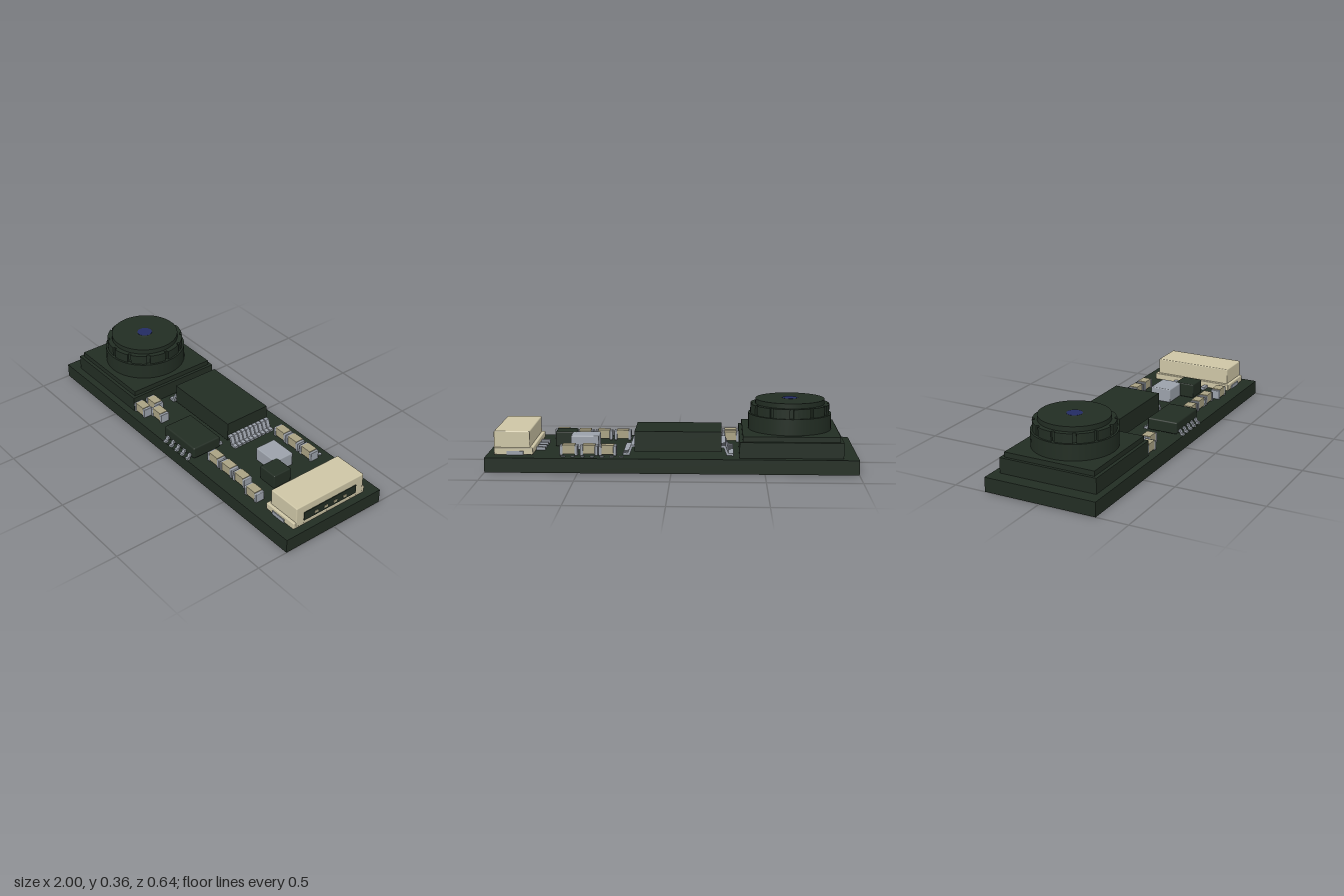
import * as THREE from 'three';
import { RoundedBoxGeometry } from 'three/addons/geometries/RoundedBoxGeometry.js';

export function createModel() {
  const model = new THREE.Group();
  const mat = (name, color) => {
    const m = new THREE.MeshStandardMaterial({ color });
    m.name = name;
    return m;
  };
  const dark = mat('dark green black', 0x222d23);
  const silver = mat('silver', 0x9ba1aa);
  const cream = mat('cream', 0xcdc5a5);
  const tan = mat('tan', 0xa9a283);
  const blue = mat('lens blue', 0x232b62);

  const add = (name, geo, material, x = 0, y = 0, z = 0, parent = model) => {
    const m = new THREE.Mesh(geo, material);
    m.name = name;
    m.position.set(x, y, z);
    parent.add(m);
    return m;
  };
  // Box given by its limits on each axis, optionally with rounded edges
  const box = (name, material, x0, x1, y0, y1, z0, z1, r = 0, parent = model) => {
    const s = [x1 - x0, y1 - y0, z1 - z0];
    const geo = r ? new RoundedBoxGeometry(...s, 2, r) : new THREE.BoxGeometry(...s);
    return add(name, geo, material, (x0 + x1) / 2, (y0 + y1) / 2, (z0 + z1) / 2, parent);
  };
  const group = (name) => {
    const g = new THREE.Group();
    g.name = name;
    model.add(g);
    return g;
  };
  // Gull-wing lead: foot lies at +x, shoulder enters the chip at x = 0
  const lead = (parent, length, height, width, x, z, turn) => {
    const t = 0.012;
    const s = new THREE.Shape();
    s.moveTo(0, height);
    s.lineTo(length * 0.35, height);
    s.lineTo(length * 0.6, t);
    s.lineTo(length, t);
    s.lineTo(length, 0);
    s.lineTo(length * 0.45, 0);
    s.lineTo(length * 0.2, height - t);
    s.lineTo(0, height - t);
    const geo = new THREE.ExtrudeGeometry(s, { depth: width, bevelEnabled: false });
    geo.translate(0, 0, -width / 2);
    add('lead', geo, silver, x, 0.08, z, parent).rotation.y = turn;
  };

  box('circuitBoard', dark, -1, 1, 0, 0.08, -0.32, 0.32);

  // Camera housing and lens barrel
  const camera = group('camera');
  box('cameraBase', dark, -0.92, -0.365, 0.08, 0.165, -0.28, 0.28, 0, camera);
  box('cameraStep', dark, -0.903, -0.382, 0.165, 0.193, -0.261, 0.261, 0, camera);
  const cx = -0.643;
  add('barrel', new THREE.CylinderGeometry(0.228, 0.228, 0.09, 48), dark, cx, 0.236, 0, camera);
  const ring = new THREE.Shape();
  for (let i = 0; i < 12; i++) {
    const a = (i * Math.PI) / 6;
    const h = 0.045;
    const pts = [[0.204, a - h], [0.204, a + h]];
    for (let k = 0; k <= 4; k++) pts.push([0.217, a + h + (k / 4) * (Math.PI / 6 - 2 * h)]);
    pts.forEach(([r, t], j) =>
      ring[i + j ? 'lineTo' : 'moveTo'](r * Math.cos(t), r * Math.sin(t)));
  }
  const ringGeo = new THREE.ExtrudeGeometry(ring, { depth: 0.053, bevelEnabled: false });
  ringGeo.rotateX(-Math.PI / 2);
  add('notchedRing', ringGeo, dark, cx, 0.28, 0, camera);
  add('lensCap', new THREE.CylinderGeometry(0.19, 0.19, 0.03, 48), dark, cx, 0.345, 0, camera);
  add('lensRim', new THREE.CylinderGeometry(0.045, 0.056, 0.003, 32), dark, cx, 0.3612, 0, camera);
  add('lensGlass', new THREE.CylinderGeometry(0.042, 0.042, 0.003, 32), blue, cx, 0.3622, 0, camera);

  // Large chip with leads on both ends
  const chip = group('largeChip');
  box('chipBody', dark, -0.268, 0.2, 0.1, 0.21, -0.22, 0.055, 0, chip);
  for (let i = 0; i < 10; i++) {
    const z = -0.208 + i * 0.0278;
    lead(chip, 0.064, 0.055, 0.022, 0.199, z, 0);
    lead(chip, 0.066, 0.055, 0.022, -0.267, z, Math.PI);
  }

  // Small chip with leads along its long sides
  const small = group('smallChip');
  box('smallChipBody', dark, -0.055, 0.208, 0.09, 0.158, 0.115, 0.292, 0.008, small);
  for (let i = 0; i < 5; i++) {
    const x = -0.02 + i * 0.049;
    lead(small, 0.036, 0.04, 0.02, x, 0.116, Math.PI / 2);
    lead(small, 0.029, 0.03, 0.02, x, 0.291, -Math.PI / 2);
  }

  box('metalCan', silver, 0.405, 0.56, 0.08, 0.16, -0.1, 0.025, 0.006);
  box('sensorBlock', dark, 0.54, 0.655, 0.08, 0.162, -0.005, 0.11, 0.006);

  // Capacitors: tan body between two silver ends
  const caps = [
    [0.345, -0.22], [0.445, -0.22], [0.555, -0.22],
    [0.295, 0.205], [0.402, 0.205], [0.51, 0.205], [0.637, 0.23],
    [-0.32, 0.17], [-0.32, 0.25], [-0.22, 0.205],
  ];
  caps.forEach(([x, z]) => {
    const c = group('capacitor');
    box('capacitorBody', tan, x - 0.034, x + 0.034, 0.088, 0.138, z - 0.025, z + 0.025, 0, c);
    for (const s of [-1, 1]) {
      const e = x + s * 0.04;
      box('capacitorEnd', silver, e - 0.009, e + 0.009, 0.08, 0.134, z - 0.027, z + 0.027, 0.004, c);
    }
  });

  // Row of solder points
  for (let i = 0; i < 7; i++) {
    add('solderPoint', new THREE.CylinderGeometry(0.011, 0.011, 0.006, 12), silver,
      0.268 + i * 0.0523, 0.082, -0.276);
  }

  // Cable connector with its slot facing +x
  const plug = group('connector');
  box('connectorFoot', cream, 0.748, 0.96, 0.081, 0.119, -0.243, 0.243, 0.005, plug);
  box('connectorShell', cream, 0.766, 0.962, 0.09, 0.208, -0.228, 0.228, 0.006, plug);
  box('connectorSlot', dark, 0.96, 0.966, 0.112, 0.163, -0.176, 0.178, 0, plug);
  for (let i = 0; i < 4; i++) {
    const z = -0.096 + i * 0.0645;
    box('contact', tan, 0.962, 0.969, 0.126, 0.14, z - 0.011, z + 0.011, 0, plug);
    box('connectorLead', silver, 0.7, 0.75, 0.08, 0.096, z - 0.011, z + 0.011, 0, plug);
  }
  for (const s of [-1, 1]) {
    const z = s * 0.243;
    box('sideTab', silver, 0.8, 0.89, 0.081, 0.102, z - 0.005, z + 0.005, 0, plug);
  }
  return model;
}
